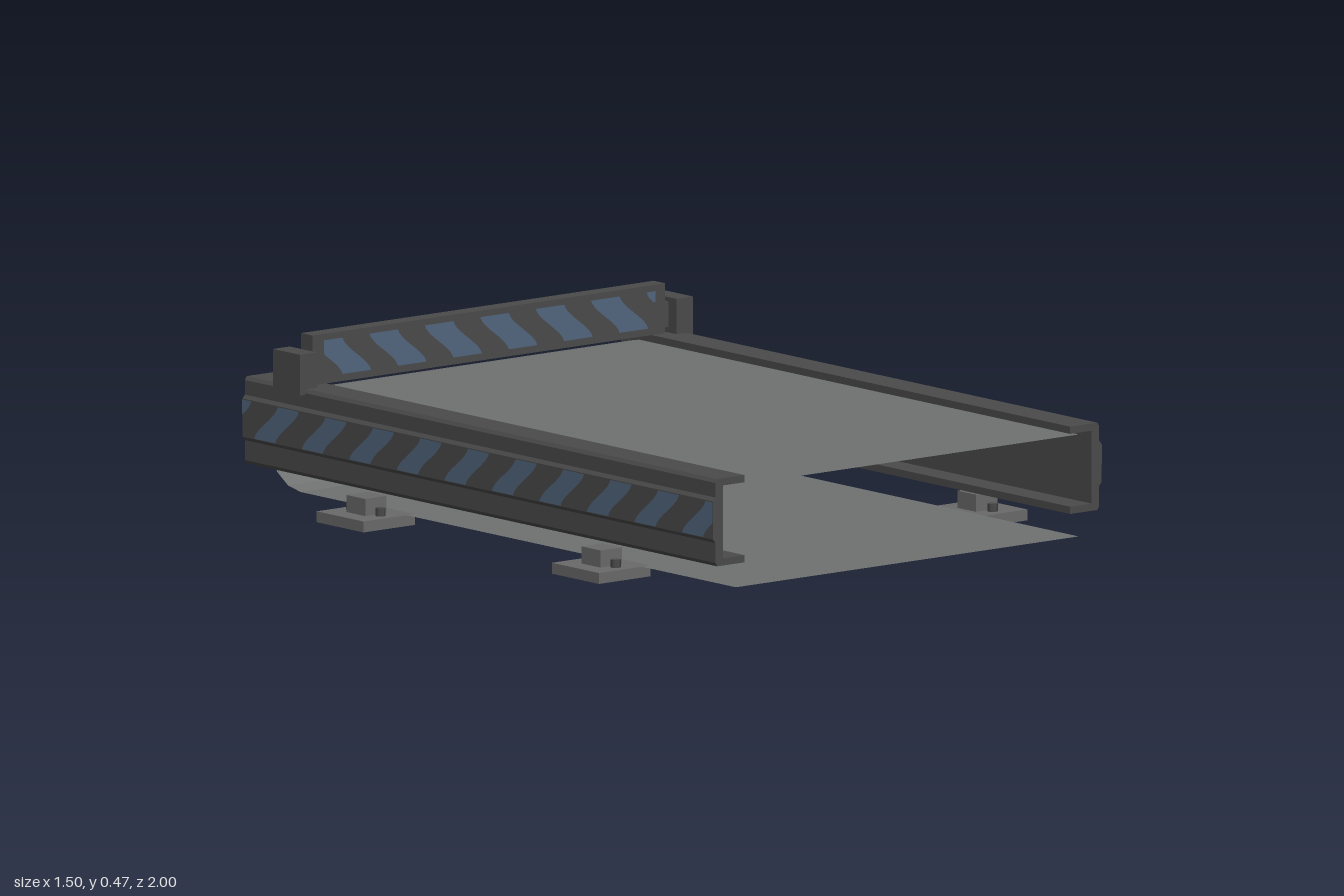
import * as THREE from 'three';

const paint = (name, color, extra = {}) =>
  Object.assign(new THREE.MeshStandardMaterial({ color, ...extra }), { name });

export function createModel() {
  const model = new THREE.Group();
  model.name = 'conveyor';
  const frameGrey = paint('frame dark grey', 0x4b4b4b);
  const footGrey = paint('foot grey', 0x6a6a6a);
  const beltGrey = paint('belt grey', 0x6f7271, { side: THREE.DoubleSide, flatShading: true });
  const stripeBlue = paint('stripe blue', 0x52667f, { side: THREE.DoubleSide });

  const add = (name, geometry, material, parent = model) => {
    const mesh = new THREE.Mesh(geometry, material);
    mesh.name = name;
    parent.add(mesh);
    return mesh;
  };
  // Box given by its limits on each axis
  const box = (name, [x0, x1], [y0, y1], [z0, z1], material, parent) => {
    const mesh = add(name, new THREE.BoxGeometry(Math.abs(x1 - x0), y1 - y0, Math.abs(z1 - z0)), material, parent);
    mesh.position.set((x0 + x1) / 2, (y0 + y1) / 2, (z0 + z1) / 2);
    return mesh;
  };

  // Row of S-shaped slanted stripes, clipped to -limit..limit
  function stripes(name, { start, width, skew, pitch, limit, bottom, top, flip = 1 }) {
    const shapes = [];
    const rows = 10;
    for (let u = start; u < limit; u += pitch) {
      const left = [], right = [];
      for (let i = 0; i <= rows; i++) {
        const t = i / rows;
        const shift = u + skew * (0.3 * t + 0.7 * t * t * (3 - 2 * t));
        const a = THREE.MathUtils.clamp(shift, -limit, limit);
        const b = THREE.MathUtils.clamp(shift + width, -limit, limit);
        if (b - a < 0.003) continue;
        const v = top + (bottom - top) * t;
        left.push(new THREE.Vector2(a * flip, v));
        right.unshift(new THREE.Vector2(b * flip, v));
      }
      if (left.length > 1) shapes.push(new THREE.Shape([...left, ...right]));
    }
    return add(name, new THREE.ShapeGeometry(shapes), stripeBlue);
  }

  // Belt: two flat runs joined by a faceted half turn at the back, open in front
  const path = [[0.31, 1]];
  for (let i = 0; i <= 8; i++) {
    const a = (i / 8) * Math.PI;
    path.push([0.17 + 0.14 * Math.cos(a), -0.85 - 0.14 * Math.sin(a)]);
  }
  path.push([0.03, 1]);
  const belt = new THREE.PlaneGeometry(1.2, 1, 1, path.length - 1);
  const pos = belt.attributes.position;
  path.forEach(([y, z], row) => {
    for (let c = 0; c < 2; c++) pos.setXYZ(row * 2 + c, c ? -0.6 : 0.6, y, z);
  });
  // Reverse across so the outer face points outward
  for (let i = 0; i < pos.count; i++) pos.setX(i, -pos.getX(i));
  belt.computeVertexNormals();
  add('belt', belt, beltGrey);

  // Channel profile of a side rail, with a raised band on the outside
  const profile = [
    [0.57, 0.095], [0.665, 0.095], [0.672, 0.105], [0.672, 0.16], [0.68, 0.17], [0.68, 0.275],
    [0.672, 0.285], [0.672, 0.325], [0.665, 0.335], [0.57, 0.335], [0.57, 0.315],
    [0.645, 0.315], [0.645, 0.115], [0.57, 0.115],
  ];

  for (const s of [1, -1]) {
    const label = s > 0 ? 'left' : 'right';
    const shape = new THREE.Shape(profile.map(([x, y]) => new THREE.Vector2(x * s, y)));
    const rail = new THREE.ExtrudeGeometry(shape, { depth: 2, bevelEnabled: false });
    rail.translate(0, 0, -1);
    add(label + 'Rail', rail, frameGrey);

    const band = stripes(label + 'RailStripes', {
      start: -1.06, width: 0.09, skew: 0.1, pitch: 0.202, limit: 1, bottom: 0.172, top: 0.273, flip: s,
    });
    band.rotation.y = s * Math.PI / 2;
    band.position.x = s * 0.682;

    // Bracket holding the crossbar
    box(label + 'Bracket', [s * 0.63, s * 0.688], [0.32, 0.432], [-0.86, -0.745], frameGrey);
    box(label + 'BracketPin', [s * 0.61, s * 0.64], [0.35, 0.42], [-0.82, -0.78], frameGrey);

    // Feet with a clamp block and two bolts each
    for (const z of [0.5, -0.5]) {
      const foot = new THREE.Group();
      foot.name = label + (z > 0 ? 'FrontFoot' : 'BackFoot');
      model.add(foot);
      box('footPlate', [s * 0.57, s * 0.75], [0, 0.03], [z - 0.1, z + 0.1], footGrey, foot);
      box('clampBlock', [s * 0.62, s * 0.695], [0.03, 0.077], [z - 0.04, z + 0.04], footGrey, foot);
      for (const dz of [-0.062, 0.062]) {
        const bolt = add('bolt', new THREE.CylinderGeometry(0.014, 0.014, 0.022, 6), frameGrey, foot);
        bolt.position.set(s * 0.66, 0.041, z + dz);
      }
    }
  }

  // Crossbar over the back end of the belt
  box('crossbar', [-0.617, 0.617], [0.335, 0.472], [-0.827, -0.778], frameGrey);
  stripes('crossbarStripes', {
    start: -0.615, width: 0.1, skew: 0.1, pitch: 0.194, limit: 0.58, bottom: 0.355, top: 0.455,
  }).position.z = -0.775;

  return model;
}
